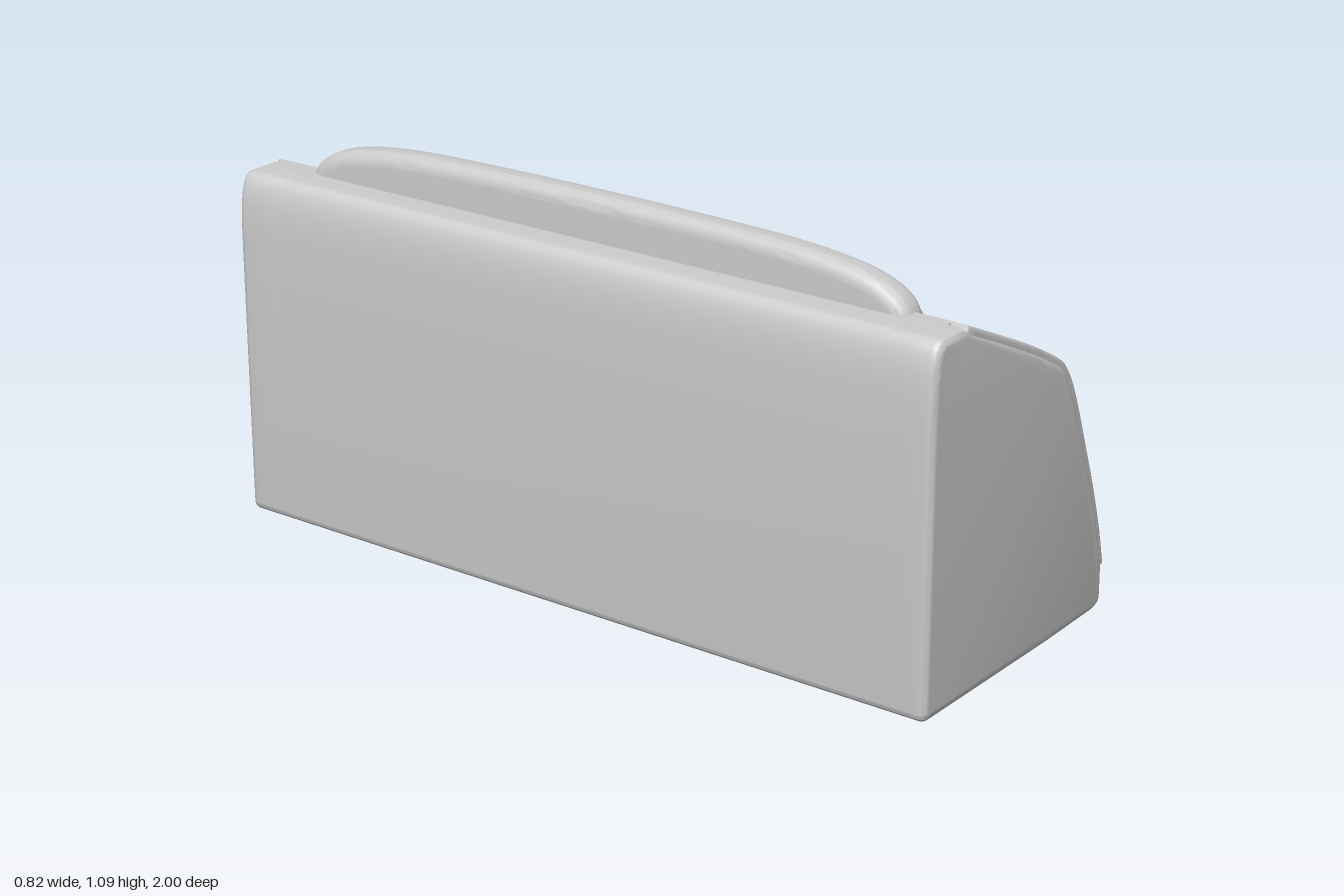
import * as THREE from 'three';
import { mergeVertices, toCreasedNormals } from 'three/addons/utils/BufferGeometryUtils.js';

const material = new THREE.MeshStandardMaterial({ color: 0xcccccc });

// Extrude a shape to a total thickness, centred on its own z, with rounded edges
// that stay inside the drawn outline.
function slab(shape, thickness, size = 0, depth = size, segments = 6) {
  const g = new THREE.ExtrudeGeometry(shape, {
    depth: thickness - 2 * depth, steps: 1, curveSegments: 12,
    bevelEnabled: size > 0, bevelSize: size, bevelThickness: depth,
    bevelOffset: -size, bevelSegments: segments,
  });
  g.translate(0, 0, depth - thickness / 2);
  g.deleteAttribute('uv');
  g.deleteAttribute('normal');
  return g;
}

function part(name, geometry, crease = 0.6) {
  const mesh = new THREE.Mesh(toCreasedNormals(mergeVertices(geometry, 1e-5), crease), material);
  mesh.name = name;
  return mesh;
}

function roundedRect(x0, y0, x1, y1, r) {
  const s = new THREE.Shape();
  s.moveTo(x0 + r, y0);
  s.lineTo(x1 - r, y0).quadraticCurveTo(x1, y0, x1, y0 + r);
  s.lineTo(x1, y1 - r).quadraticCurveTo(x1, y1, x1 - r, y1);
  s.lineTo(x0 + r, y1).quadraticCurveTo(x0, y1, x0, y1 - r);
  s.lineTo(x0, y0 + r).quadraticCurveTo(x0, y0, x0 + r, y0);
  return s;
}

// Sloping top line of the arms, from the back down to the front
const armLine = new THREE.SplineCurve([
  [-0.27, 0.983], [-0.12, 0.915], [0, 0.858], [0.12, 0.793], [0.165, 0.75],
  [0.205, 0.675], [0.26, 0.535], [0.3, 0.43], [0.34, 0.305], [0.363, 0.21],
].map(([x, y]) => new THREE.Vector2(x, y)));

// Points on the arm line, moved inward by a distance
function armPoints(inset, count = 36) {
  return Array.from({ length: count + 1 }, (_, i) => {
    const p = armLine.getPoint(i / count);
    const t = armLine.getTangent(i / count);
    return new THREE.Vector2(p.x + t.y * inset, p.y - t.x * inset);
  });
}

// Side outline shared by arms and core: underside, back and top rear corner
function startOutline() {
  const s = new THREE.Shape();
  s.moveTo(0.352, 0.14);
  s.quadraticCurveTo(0.352, 0.108, 0.31, 0.105);
  s.lineTo(0.1, 0.1).lineTo(-0.385, 0.1);
  s.quadraticCurveTo(-0.41, 0.1, -0.41, 0.125);
  s.lineTo(-0.41, 0.8);
  s.bezierCurveTo(-0.41, 0.9, -0.405, 0.98, -0.365, 0.98);
  return s;
}

export function createModel() {
  const group = new THREE.Group();
  group.name = 'sofa';

  // Back and under-seat core
  const core = startOutline();
  core.lineTo(-0.26, 0.98).lineTo(-0.26, 0.2).lineTo(0.35, 0.2);
  group.add(part('frame', slab(core, 1.9)));

  // Arms with padded trim
  const armShape = startOutline();
  armShape.lineTo(-0.285, 0.98);
  armPoints(0.012).forEach((p) => armShape.lineTo(p.x, p.y));
  const trimShape = new THREE.Shape([...armPoints(0), ...armPoints(0.035).reverse()]);
  for (const side of [1, -1]) {
    const label = side > 0 ? 'left' : 'right';
    const arm = part(label + 'Arm', slab(armShape, 0.153, 0.02));
    arm.position.z = side * 0.9235;
    const trimGeo = slab(trimShape, 0.15, 0.008, 0.008, 3);
    // The trim's front end runs slightly back towards the seat
    const pos = trimGeo.attributes.position;
    for (let i = 0; i < pos.count; i++) {
      const inner = 0.5 - (side * pos.getZ(i)) / 0.15;
      const front = THREE.MathUtils.smoothstep(pos.getX(i), 0, 0.34);
      pos.setX(i, pos.getX(i) - 0.015 * inner * front);
    }
    const trim = part(label + 'ArmTrim', trimGeo);
    trim.position.z = side * 0.919;
    group.add(arm, trim);
  }

  // Upright back panel with a domed top edge
  const panel = new THREE.Shape();
  panel.moveTo(-0.86, 0.25);
  panel.lineTo(0.86, 0.25).lineTo(0.86, 0.96);
  panel.bezierCurveTo(0.85, 1.05, 0.7, 1.07, 0.5, 1.08);
  panel.quadraticCurveTo(0.3, 1.086, 0, 1.086);
  panel.quadraticCurveTo(-0.3, 1.086, -0.5, 1.08);
  panel.bezierCurveTo(-0.7, 1.07, -0.85, 1.05, -0.86, 0.96);
  const panelGeo = slab(panel, 0.085, 0.035, 0.03);
  panelGeo.rotateY(Math.PI / 2).translate(-0.2625, 0, 0);
  group.add(part('backPanel', panelGeo));

  // Seat cushion with a bowed front
  const seat = new THREE.Shape();
  seat.moveTo(-0.25, -0.845);
  seat.lineTo(0.335, -0.845);
  seat.bezierCurveTo(0.38, -0.8, 0.4, -0.65, 0.403, -0.45);
  seat.quadraticCurveTo(0.408, -0.2, 0.408, 0);
  seat.quadraticCurveTo(0.408, 0.2, 0.403, 0.45);
  seat.bezierCurveTo(0.4, 0.65, 0.38, 0.8, 0.335, 0.845);
  seat.lineTo(-0.25, 0.845);
  const seatGeo = slab(seat, 0.163, 0.025, 0.035);
  seatGeo.rotateX(-Math.PI / 2).translate(0, 0.2415, 0);
  group.add(part('seatCushion', seatGeo));

  // Three back cushions, thicker at the bottom
  for (const i of [-1, 0, 1]) {
    const geo = slab(roundedRect(-0.27, 0.325, 0.27, 0.973, 0.11), 0.22, 0.06, 0.07, 8);
    geo.rotateY(Math.PI / 2).translate(-0.16, 0, 0);
    const pos = geo.attributes.position;
    for (let k = 0; k < pos.count; k++) {
      if (pos.getX(k) > -0.16) pos.setX(k, pos.getX(k) - 0.05 * (pos.getY(k) - 0.325) / 0.648);
    }
    const cushion = part('backCushion' + (i + 2), geo, 0.7);
    cushion.position.z = i * 0.542;
    group.add(cushion);
  }

  // Rounded plinth under the frame
  const base = slab(roundedRect(-0.255, -0.84, 0.353, 0.84, 0.14), 0.25, 0.075, 0.095, 8);
  base.rotateX(-Math.PI / 2).translate(0, 0.125, 0);
  const plinth = part('plinth', base);
  plinth.scale.y = 0.75;
  group.add(plinth);

  return group;
}
